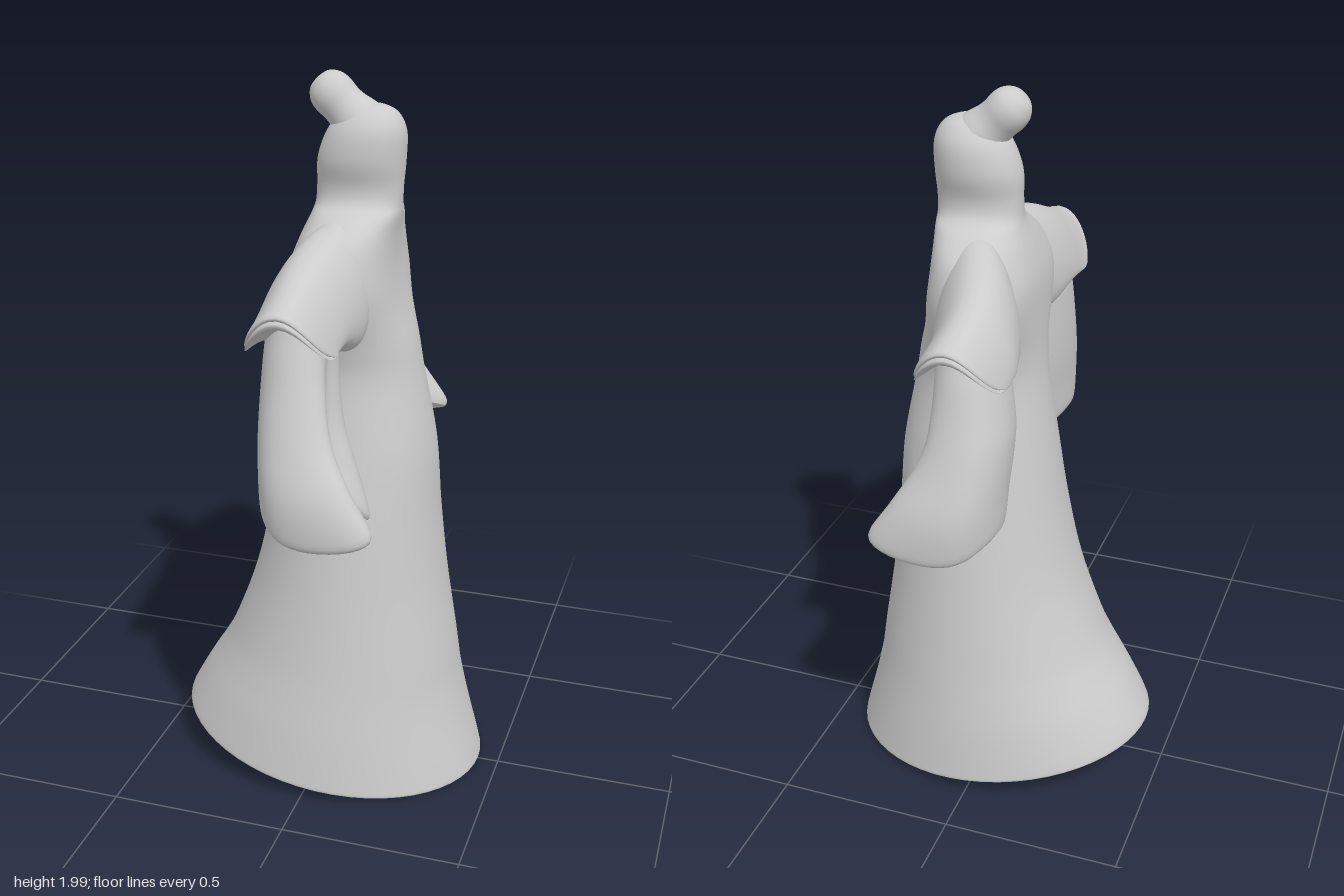
import * as THREE from 'three';

const material = new THREE.MeshStandardMaterial({ color: 0xcccccc, side: THREE.DoubleSide });
const SEG = 56;

const bump = (x, width) => Math.exp(-((x / width) ** 2));
const signedPow = (x, p) => Math.sign(x) * Math.abs(x) ** p;

// Smoothly interpolate rows of section parameters (Catmull-Rom), n steps per span
function smooth(keys, n) {
  const rows = [];
  const last = keys.length - 1;
  for (let i = 0; i < last; i++) {
    const [a, b, c, d] = [keys[Math.max(i - 1, 0)], keys[i], keys[i + 1], keys[Math.min(i + 2, last)]];
    for (let k = 0; k < n; k++) {
      const t = k / n;
      rows.push(b.map((_, j) => 0.5 * (2 * b[j] + (c[j] - a[j]) * t
        + (2 * a[j] - 5 * b[j] + 4 * c[j] - d[j]) * t * t
        + (3 * b[j] - a[j] - 3 * c[j] + d[j]) * t * t * t)));
    }
  }
  rows.push(keys[last]);
  return rows;
}

// Skin closed rings; place(row, angle) returns one [x, y, z] point
function loft(name, keys, place, flip = false, steps = 5) {
  const rows = smooth(keys, steps);
  const pos = [], index = [];
  rows.forEach((row, i) => {
    for (let j = 0; j < SEG; j++) {
      pos.push(...place(row, (j / SEG) * Math.PI * 2));
      if (i === rows.length - 1) continue;
      const k = (j + 1) % SEG;
      const a = i * SEG + j, b = a + SEG, c = i * SEG + k, d = c + SEG;
      if (flip) index.push(a, c, b, b, c, d);
      else index.push(a, b, c, b, d, c);
    }
  });
  const geo = new THREE.BufferGeometry();
  geo.setAttribute('position', new THREE.Float32BufferAttribute(pos, 3));
  geo.setIndex(index);
  geo.computeVertexNormals();
  const mesh = new THREE.Mesh(geo, material);
  mesh.name = name;
  return mesh;
}

// Robe, neck and head: y, centre x, half depth, half width, hem tilt, hem bend
function robeAndHead() {
  const keys = [
    [0.27, 0.03, 0.005, 0.005, 0, 0],
    [0.24, 0.03, 0.22, 0.19, -0.02, 0],
    [0.15, 0.015, 0.35, 0.285, -0.05, 0.02],
    [0.065, 0.0, 0.42, 0.335, -0.06, 0.02],
    [0.05, -0.003, 0.443, 0.354, -0.06, 0.02],
    [0.085, -0.002, 0.434, 0.352, -0.056, 0.02],
    [0.2, 0.006, 0.392, 0.337, -0.038, 0.012],
    [0.3, 0.017, 0.356, 0.32, -0.02, 0.005],
    [0.4, 0.031, 0.326, 0.304, -0.01, 0],
    [0.6, 0.049, 0.274, 0.277, 0, 0],
    [0.8, 0.06, 0.24, 0.252, 0, 0],
    [1.0, 0.067, 0.217, 0.217, 0, 0],
    [1.2, 0.062, 0.183, 0.181, 0, 0],
    [1.3, 0.056, 0.168, 0.19, 0, 0],
    [1.4, 0.042, 0.15, 0.22, 0, 0],
    [1.5, 0.036, 0.138, 0.235, 0, 0],
    [1.58, 0.046, 0.126, 0.215, 0, 0],
    [1.635, 0.06, 0.119, 0.15, 0, 0],
    [1.665, 0.064, 0.116, 0.095, 0, 0],
    [1.71, 0.066, 0.116, 0.081, 0, 0],
    [1.78, 0.07, 0.117, 0.096, 0, 0],
    [1.85, 0.083, 0.104, 0.091, 0, 0],
    [1.895, 0.092, 0.074, 0.065, 0, 0],
    [1.915, 0.094, 0.036, 0.032, 0, 0],
    [1.918, 0.094, 0.002, 0.002, 0, 0],
  ];
  return loft('robeAndHead', keys, ([y, cx, rx, rz, tilt, bend], a) => {
    const c = Math.cos(a);
    const chest = 1 - 0.3 * bump(y - 1.47, 0.12); // boxier across the shoulders
    return [
      cx + rx * signedPow(c, chest),
      y + tilt * c + bend * c * c,
      rz * signedPow(Math.sin(a), chest),
    ];
  });
}

// Arched shoulder cap: z, top y, centre x, half depth, thickness, droop, pull-back
function shoulderCap(side) {
  const keys = [
    [0.0, 1.6, 0.05, 0.07, 0.2, 0.02, 0],
    [0.1, 1.64, 0.05, 0.09, 0.28, 0.03, 0],
    [0.2, 1.622, 0.03, 0.115, 0.31, 0.05, 0],
    [0.3, 1.587, 0.015, 0.116, 0.21, 0.08, 0],
    [0.4, 1.545, 0.012, 0.115, 0.11, 0.11, 0.025],
    [0.48, 1.517, 0.015, 0.117, 0.06, 0.115, 0.08],
    [0.52, 1.507, 0.015, 0.116, 0.042, 0.112, 0.105],
    [0.531, 1.496, 0.015, 0.112, 0.018, 0.11, 0.11],
    [0.526, 1.488, 0.015, 0.11, 0.0, 0.11, 0.11],
  ];
  const shift = side > 0 ? 0 : -0.05;
  return loft('shoulderCap', keys, ([z, top, cx, hw, th, droop, pull], a) => {
    const c = signedPow(Math.cos(a), 0.8);
    return [
      cx + shift * Math.min(1, z / 0.35) + hw * c,
      top - droop * c * c - th * 0.5 * (1 - Math.sin(a)),
      side * (z - pull * (1 - Math.abs(Math.sin(a)))),
    ];
  }, side > 0);
}

// Hanging sleeve: y, centre x, centre z, half depth, half width, flare (0 to 1)
function sleeve(side) {
  const keys = [
    [1.0, 0.035, 0.355, 0.004, 0.004, 0.7],
    [0.99, 0.037, 0.357, 0.06, 0.07, 0.75],
    [0.955, 0.047, 0.366, 0.1, 0.112, 0.9],
    [0.915, 0.055, 0.37, 0.117, 0.13, 1],
    [0.908, 0.056, 0.372, 0.128, 0.14, 1],
    [0.935, 0.052, 0.373, 0.133, 0.152, 0.97],
    [1.03, 0.034, 0.364, 0.12, 0.158, 0.65],
    [1.14, 0.012, 0.342, 0.105, 0.144, 0.35],
    [1.27, 0.003, 0.315, 0.097, 0.126, 0.15],
    [1.38, 0.003, 0.295, 0.092, 0.113, 0],
    [1.47, 0.005, 0.28, 0.078, 0.09, 0],
    [1.51, 0.005, 0.275, 0.004, 0.004, 0],
  ];
  const shift = side > 0 ? 0 : -0.045;
  return loft('sleeve', keys, ([y, cx, cz, rx, rz, flare], a) => {
    const c = Math.cos(a), s = Math.sin(a);
    const front = Math.max(0, c);
    const corner = flare * Math.max(0, Math.cos(a - 0.85)) ** 4; // outer front tip
    const lobe = flare * front * bump(s + 0.55, 0.35); // inner front fold
    const groove = front * bump(s - 0.1, 0.38); // crease between them
    return [
      cx + shift * Math.min(1, (1.5 - y) / 0.3) + rx * c + 0.1 * corner + 0.025 * lobe
        - 0.07 * Math.min(1, rx / 0.1) * Math.min(1, 0.3 + flare) * groove,
      y + flare * (0.03 * Math.cos(2 * a) + 0.01 * corner + 0.02 * groove - 0.04 * lobe),
      side * (cz + rz * s + 0.02 * corner),
    ];
  }, side < 0);
}

// Topknot leaning toward the back of the head
function topknot() {
  const profile = new THREE.SplineCurve([
    [0.072, 0], [0.067, 0.035], [0.059, 0.065], [0.057, 0.09], [0.059, 0.12],
    [0.053, 0.148], [0.032, 0.172], [0, 0.179],
  ].map(([r, h]) => new THREE.Vector2(r, h))).getPoints(28);
  profile.forEach((p) => { p.x = Math.max(p.x, 0); });
  const mesh = new THREE.Mesh(new THREE.LatheGeometry(profile, 32), material);
  mesh.name = 'topknot';
  mesh.position.set(0.077, 1.853, 0);
  mesh.rotation.z = 0.8;
  return mesh;
}

export function createModel() {
  const model = new THREE.Group();
  model.name = 'robedFigure';
  model.add(robeAndHead(), topknot());
  for (const side of [1, -1]) {
    const arm = new THREE.Group();
    arm.name = side > 0 ? 'leftArm' : 'rightArm';
    arm.add(shoulderCap(side), sleeve(side));
    model.add(arm);
  }
  return model;
}
